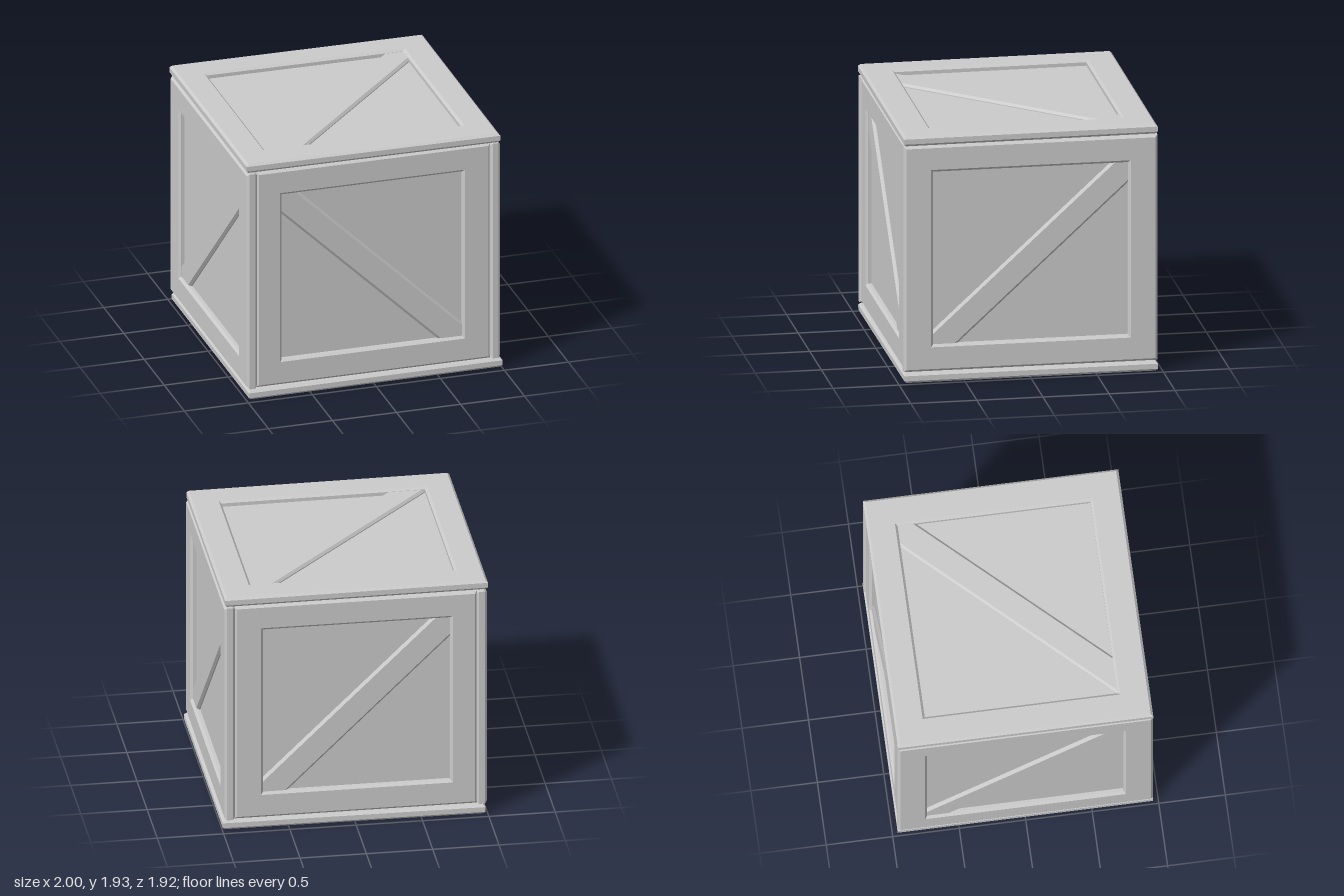
import * as THREE from 'three';

const material = new THREE.MeshStandardMaterial({ color: 0xcccccc, flatShading: true });
const BEVEL = 0.018;

function rectPath(path, w, h, cx = 0, cy = 0) {
  path.moveTo(cx - w / 2, cy - h / 2);
  path.lineTo(cx + w / 2, cy - h / 2);
  path.lineTo(cx + w / 2, cy + h / 2);
  path.lineTo(cx - w / 2, cy + h / 2);
  path.closePath();
  return path;
}

// Chamfered slab whose outer face lies at z = front
function slab(shape, thickness, front, name) {
  const geometry = new THREE.ExtrudeGeometry(shape, {
    depth: thickness - 2 * BEVEL,
    bevelEnabled: true,
    bevelThickness: BEVEL,
    bevelSize: BEVEL,
    bevelOffset: -BEVEL,
    bevelSegments: 1,
  });
  geometry.translate(0, 0, front - thickness + BEVEL);
  const mesh = new THREE.Mesh(geometry, material);
  mesh.name = name;
  return mesh;
}

// One crate face in the XY plane, outer surface at z = 0
function cratePanel(name, { w, h, thickness, opening, brace }) {
  const panel = new THREE.Group();
  panel.name = name;

  // Border boards around the recess
  const border = rectPath(new THREE.Shape(), w, h);
  border.holes.push(rectPath(new THREE.Path(), ...opening));
  panel.add(slab(border, thickness, 0, 'frame'));

  // Recessed sheet
  const recess = 0.045;
  const sheet = new THREE.Mesh(
    new THREE.BoxGeometry(w - 0.1, h - 0.1, thickness - recess - 0.005), material);
  sheet.position.z = -(recess + thickness - 0.005) / 2;
  sheet.name = 'sheet';
  panel.add(sheet);

  // Diagonal board, its ends tucked under the frame
  const board = slab(rectPath(new THREE.Shape(), brace.length, brace.width), 0.045, -0.02, 'diagonalBrace');
  board.position.set(brace.x, brace.y, 0);
  board.rotation.z = THREE.MathUtils.degToRad(brace.angle);
  panel.add(board);
  return panel;
}

export function createModel() {
  const crate = new THREE.Group();
  crate.name = 'crate';
  const midY = 0.965;

  // Front and back panels, set between the sides
  for (const s of [1, -1]) {
    const panel = cratePanel(s > 0 ? 'frontPanel' : 'backPanel', {
      w: 1.83, h: 1.75, thickness: 0.08,
      opening: [1.41, 1.34, -0.008 * s, 0],
      brace: { length: 2.06, width: 0.21, x: -0.005 * s, y: -0.03, angle: -44 * s },
    });
    panel.position.set(-0.005, midY, 0.95 * s);
    if (s < 0) panel.rotation.y = Math.PI;
    crate.add(panel);
  }

  // Side panels, covering the ends of front and back
  for (const s of [1, -1]) {
    const panel = cratePanel(s > 0 ? 'leftPanel' : 'rightPanel', {
      w: 1.92, h: 1.75, thickness: 0.08,
      opening: [1.475, 1.34, 0, 0],
      brace: { length: 2.1, width: 0.205, x: 0, y: -0.03, angle: 42.5 },
    });
    panel.position.set(-0.005 + 0.99 * s, midY, 0);
    panel.rotation.y = s * Math.PI / 2;
    crate.add(panel);
  }

  // Lid and base, each sitting very slightly askew
  for (const s of [1, -1]) {
    const panel = cratePanel(s > 0 ? 'lidPanel' : 'basePanel', {
      w: 1.982, h: 1.92, thickness: 0.075,
      opening: [1.535, 1.45, -0.005, 0.005],
      brace: { length: 2.24, width: 0.218, x: 0.06, y: 0, angle: 46.7 },
    });
    panel.rotation.x = -s * Math.PI / 2;
    const holder = new THREE.Group();
    holder.name = s > 0 ? 'lid' : 'base';
    holder.add(panel);
    holder.position.set(s > 0 ? -0.009 : 0.009, s > 0 ? 1.922 : 0.006, 0);
    holder.rotation.set(s > 0 ? 0.003 : 0.001, 0, s > 0 ? -0.004 : 0.004);
    crate.add(holder);
  }
  return crate;
}
